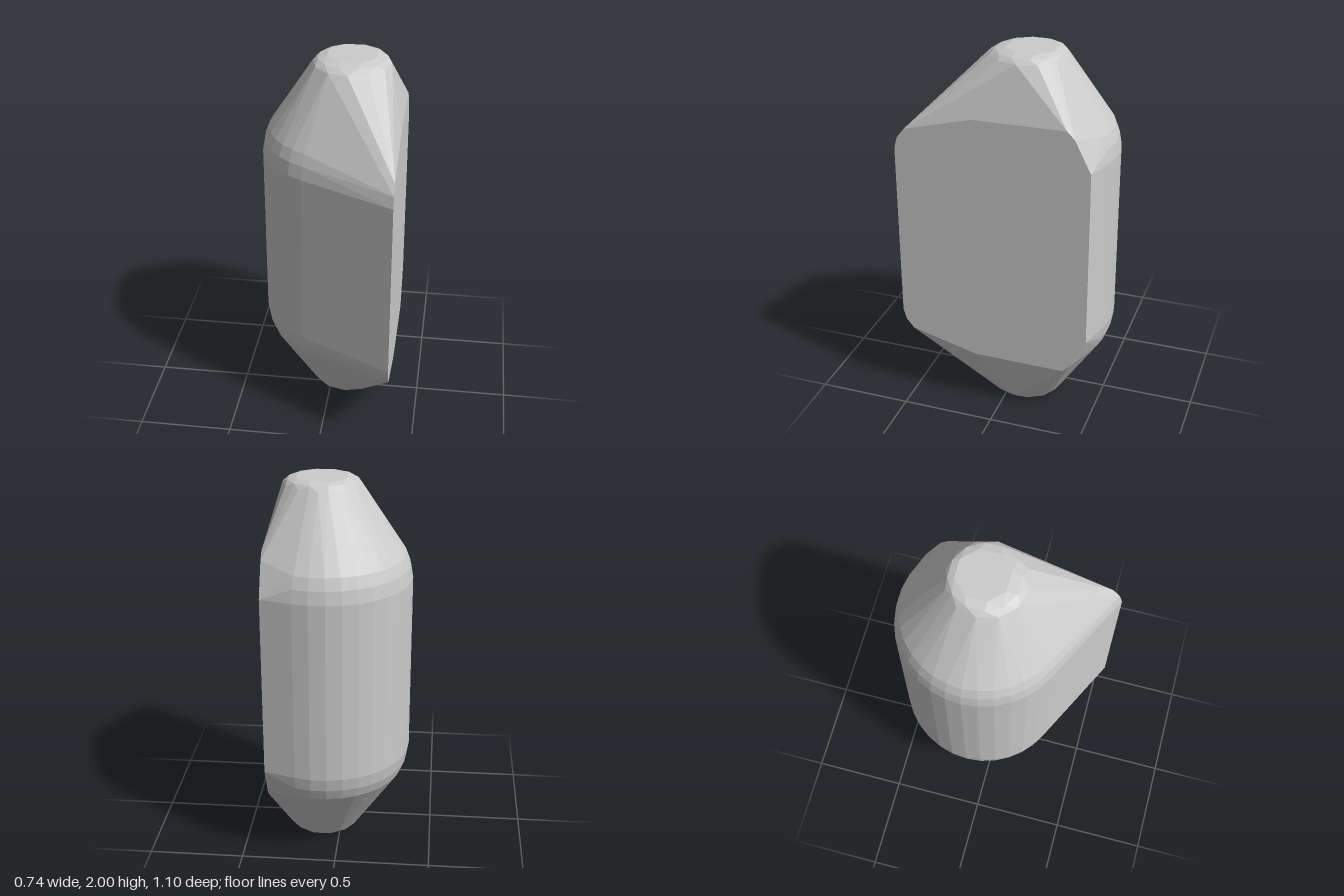
import * as THREE from 'three';
import { ConvexGeometry } from 'three/addons/geometries/ConvexGeometry.js';

export function createModel() {
  const group = new THREE.Group();
  const points = [];

  // Every point is mirrored about mid height, y = 1
  const add = (x, y, z) => points.push(new THREE.Vector3(x, y, z), new THREE.Vector3(x, 2 - y, z));

  // Arc of points round (cx, cz); angles are measured from the back (-z) towards +x
  const arc = (cx, cz, r, y, from, to, steps) => {
    for (let i = 0; i <= steps; i++) {
      const a = THREE.MathUtils.degToRad(from + (to - from) * i / steps);
      add(cx + r * Math.sin(a), y, cz - r * Math.cos(a));
    }
  };

  // Round wall and the softened shoulder above it: [radius, height]
  for (const [r, y] of [[0.45, 1.48], [0.438, 1.55], [0.415, 1.61], [0.39, 1.645]])
    arc(0.08, -0.1, r, y, 16, -154.6, 16);

  // Outline of the flat side: [height, z]
  for (const [y, z] of [[1.48, 0.547], [1.54, 0.53], [1.59, 0.49], [1.685, 0.13], [1.69, -0.36], [1.65, -0.4], [1.48, -0.485]])
    add(0.367, y, z);

  // Bevelled end caps
  arc(0.095, -0.08, 0.2, 1.965, 0, 330, 11);
  arc(0.095, -0.09, 0.175, 1.987, 15, 345, 11);
  arc(0.095, -0.1, 0.135, 2, 22.5, 337.5, 7);

  const body = new THREE.Mesh(
    new ConvexGeometry(points),
    new THREE.MeshStandardMaterial({ color: 0xcccccc, flatShading: true })
  );
  body.name = 'body';
  group.add(body);
  return group;
}
